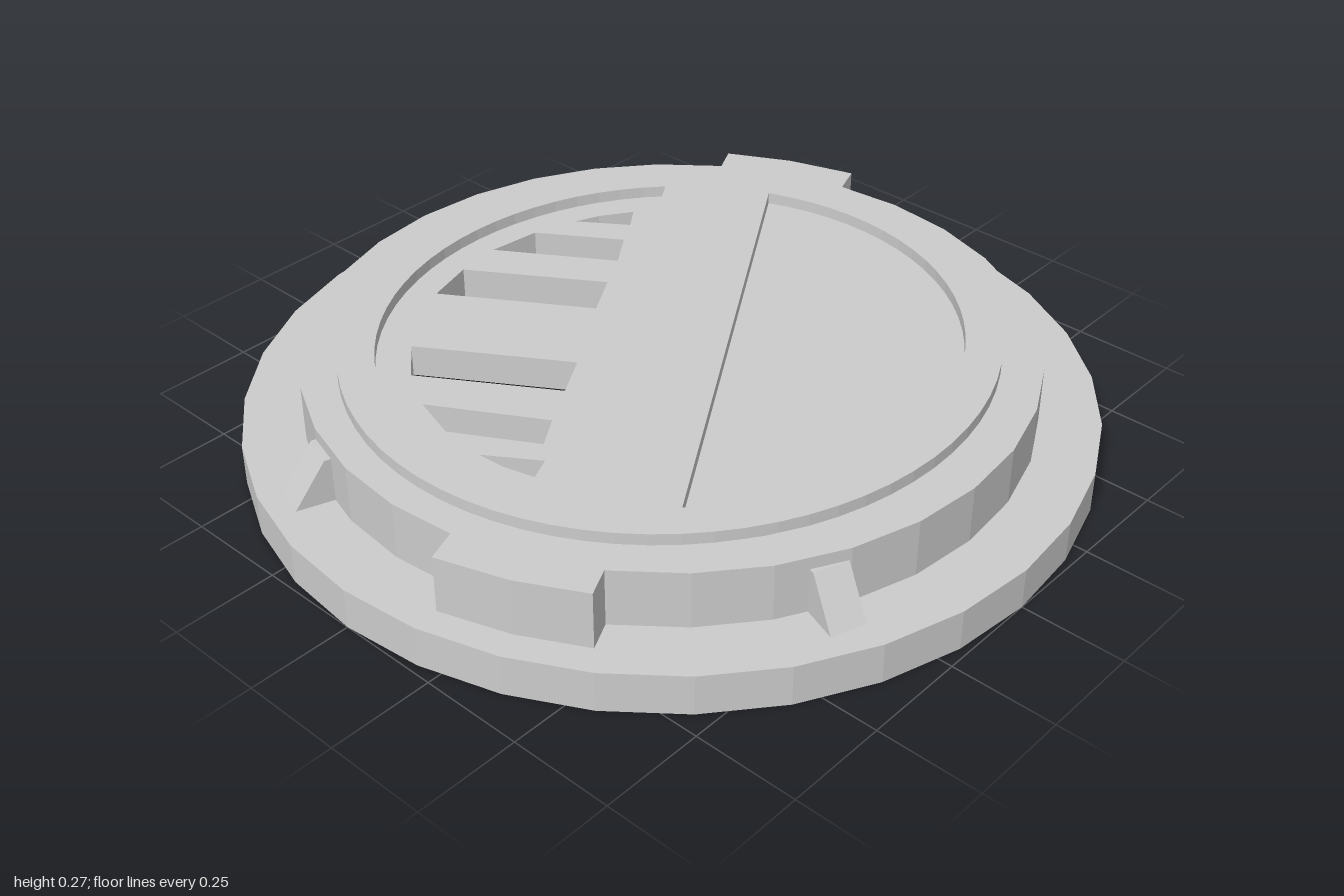
import * as THREE from 'three';

const material = new THREE.MeshStandardMaterial({ color: 0xcccccc, flatShading: true });

const toPoints = (list) => list.map(([x, z]) => new THREE.Vector2(x, z));

// Points along an elliptical arc in the x-z plane, angles in degrees.
function arc(rx, rz, from, to, steps) {
  const points = [];
  for (let i = 0; i <= steps; i++) {
    const a = THREE.MathUtils.degToRad(from + ((to - from) * i) / steps);
    points.push(new THREE.Vector2(rx * Math.cos(a), rz * Math.sin(a)));
  }
  return points;
}

// Horizontal slab from an x-z outline, with optional holes.
function slab(name, outline, bottom, top, holes = []) {
  const shape = new THREE.Shape(outline);
  shape.holes = holes.map((points) => new THREE.Path(points));
  const geometry = new THREE.ExtrudeGeometry(shape, { depth: top - bottom, bevelEnabled: false });
  geometry.rotateX(Math.PI / 2).translate(0, top, 0);
  const mesh = new THREE.Mesh(geometry, material);
  mesh.name = name;
  return mesh;
}

// Triangular rib: upright at the inner end, sloping down outwards along +z.
function rib(x, z, turn) {
  const profile = new THREE.Shape(toPoints([[-0.06, 0.09], [0.04, 0.1], [-0.035, 0.21], [-0.06, 0.21]]));
  const geometry = new THREE.ExtrudeGeometry(profile, { depth: 0.085, bevelEnabled: false });
  geometry.translate(0, 0, -0.0425).rotateY(-Math.PI / 2);
  const mesh = new THREE.Mesh(geometry, material);
  mesh.name = 'rib';
  mesh.rotation.y = THREE.MathUtils.degToRad(turn);
  mesh.position.set(x, 0, z);
  return mesh;
}

export function createModel() {
  const model = new THREE.Group();
  model.name = 'ventedCover';

  // Flange and raised collar around a tapered cavity
  const flange = new THREE.Mesh(new THREE.LatheGeometry(toPoints([
    [0.82, 0], [1, 0], [1, 0.1], [0.855, 0.1], [0.855, 0.24], [0.76, 0.24], [0.76, 0.16], [0.82, 0],
  ]), 32), material);
  flange.name = 'flangeAndCollar';
  model.add(flange);

  // Floor plate with slanted vent slots
  const slots = [
    [[-0.475, -0.375], [-0.435, -0.32], [-0.55, -0.24], [-0.525, -0.3]],
    [[-0.395, -0.255], [-0.335, -0.17], [-0.6, 0], [-0.585, -0.13]],
    [[-0.283, -0.08], [-0.22, 0.025], [-0.55, 0.235], [-0.585, 0.115]],
    [[-0.09, 0.22], [-0.03, 0.32], [-0.33, 0.51], [-0.42, 0.43]],
    [[0.03, 0.42], [0.08, 0.495], [-0.11, 0.605], [-0.225, 0.57]],
    [[0.125, 0.535], [0.15, 0.59], [0.075, 0.61], [0.005, 0.615]],
  ].map(toPoints);
  model.add(slab('ventedFloor', arc(0.8, 0.8, 0, 354, 59), 0.16, 0.239, slots));

  // Top rim and diagonal band, left standing between two recesses
  const recesses = [
    arc(0.665, 0.695, -112, 44.5, 32),
    arc(0.665, 0.695, 67.5, 225, 32),
  ];
  model.add(slab('rimAndBand', arc(0.75, 0.78, 0, 355, 71), 0.235, 0.268, recesses));

  // Tabs and ribs, repeated half a turn apart
  const tab = toPoints([[0.15, 0.81], [0.19, 0.915], [0.356, 0.86], [0.505, 0.78], [0.45, 0.67]]);
  for (const half of [0, 1]) {
    const side = new THREE.Group();
    side.name = half ? 'rearFittings' : 'frontFittings';
    side.add(slab('tab', tab, 0.1, 0.24), rib(-0.305, 0.847, -20), rib(0.807, 0.385, 70));
    side.rotation.y = half * Math.PI;
    model.add(side);
  }
  return model;
}
